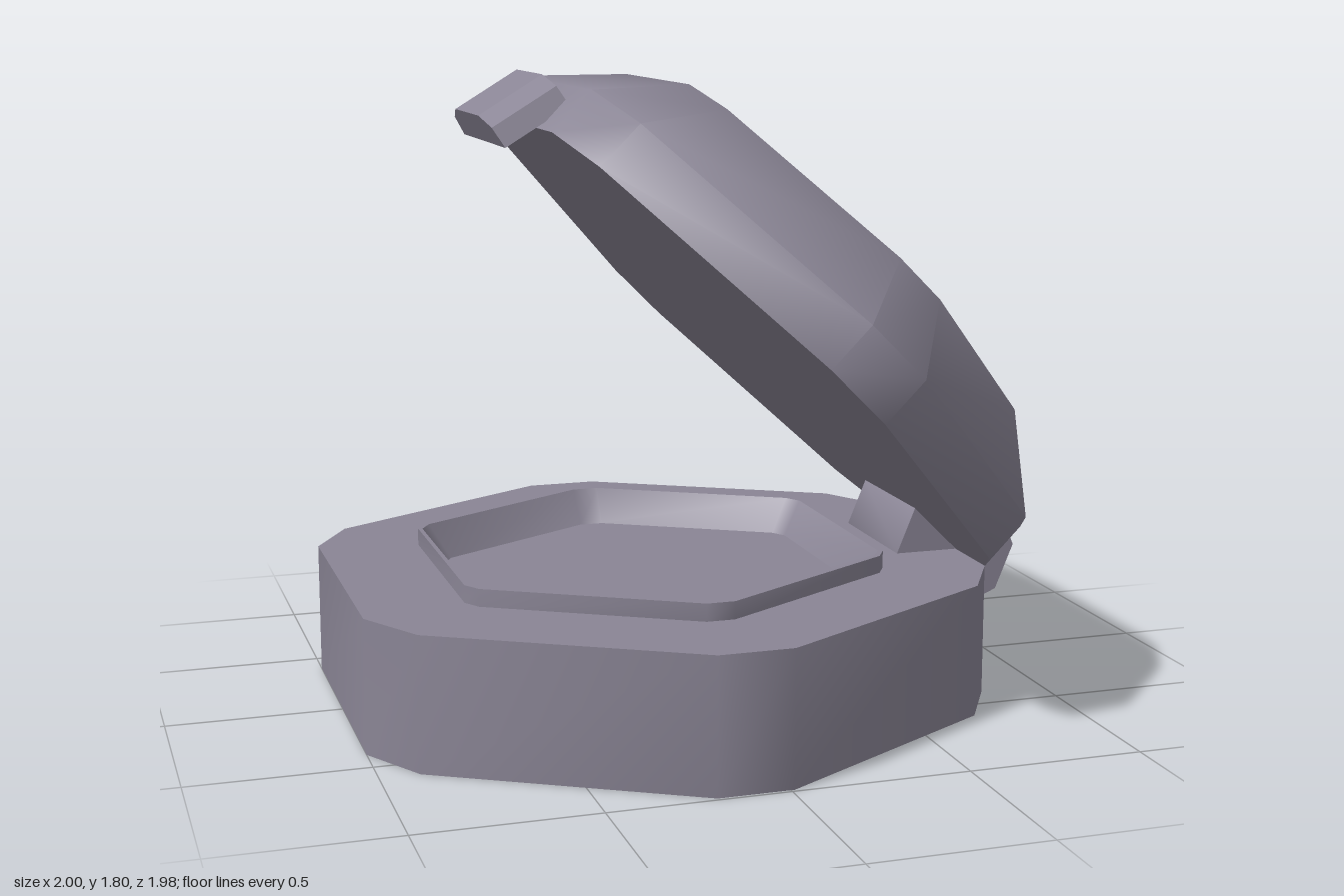
import * as THREE from 'three';
import { toCreasedNormals } from 'three/addons/utils/BufferGeometryUtils.js';

const MID = -0.095; // centre of the base in x

// Twelve-cornered outline mirrored from one quadrant of [x, z] points
function outline(quadrant) {
  const back = [...quadrant].reverse();
  return [
    ...quadrant,
    ...back.map(([x, z]) => [-x, z]),
    ...quadrant.map(([x, z]) => [-x, -z]),
    ...back.map(([x, z]) => [x, -z]),
  ];
}

// Closed body through rings of { pts, s: scale, y }, from the underside to the last cap
function loft(rings, crease) {
  const n = rings[0].pts.length, pos = [], idx = [];
  for (const { pts, s, y } of rings) for (const [x, z] of pts) pos.push(x * s, y, z * s);
  for (let r = 0; r < rings.length - 1; r++) {
    for (let i = 0; i < n; i++) {
      const a = r * n + i, b = r * n + (i + 1) % n;
      idx.push(a, a + n, b, b, a + n, b + n);
    }
  }
  const first = pos.length / 3, last = first + 1, top = (rings.length - 1) * n;
  pos.push(0, rings[0].y, 0, 0, rings[rings.length - 1].y, 0);
  for (let i = 0; i < n; i++) {
    const j = (i + 1) % n;
    idx.push(first, i, j, last, top + j, top + i);
  }
  const g = new THREE.BufferGeometry();
  g.setAttribute('position', new THREE.Float32BufferAttribute(pos, 3));
  g.setIndex(idx);
  return toCreasedNormals(g, crease);
}

export function createModel() {
  const model = new THREE.Group();
  const casing = new THREE.MeshStandardMaterial({ color: 0x8a8595 });
  casing.name = 'grey violet casing';
  const add = (name, geometry, parent = model) => {
    const mesh = new THREE.Mesh(geometry, casing);
    mesh.name = name;
    parent.add(mesh);
    return mesh;
  };

  const outer = outline([[0.905, 0.4], [0.795, 0.59], [0.105, 0.99]]);
  const inner = outline([[0.615, 0.33], [0.585, 0.38], [0.04, 0.7]]);

  // Base with a raised rim around a shallow tray
  add('base', loft([
    { pts: outer, s: 1, y: 0 },
    { pts: outer, s: 1, y: 0.38 },
    { pts: inner, s: 1, y: 0.38 },
    { pts: inner, s: 1, y: 0.43 },
    { pts: inner, s: 0.98, y: 0.43 },
    { pts: inner, s: 0.88, y: 0.33 },
  ], 0.8)).position.x = MID;

  // Open lid with a broad bevel, tilted back on the hinge
  const lid = add('lid', loft([
    { pts: outer, s: 1, y: 0 },
    { pts: outer, s: 1, y: 0.155 },
    { pts: outer, s: 0.77, y: 0.37 },
  ], 0.9));
  lid.position.set(0.171, 1.02, 0);
  lid.rotation.z = -Math.PI / 4;

  // Eight-sided hinge barrel
  const barrel = new THREE.CylinderGeometry(0.188, 0.188, 0.39, 8);
  barrel.rotateY(Math.PI / 2).rotateX(Math.PI / 2);
  add('hinge', toCreasedNormals(barrel, 0.9)).position.set(0.81, 0.38, 0);

  // Clasp tongue with chamfered ends on the free edge of the lid
  const section = new THREE.Shape([
    [-0.26, -0.047], [0.26, -0.047], [0.24, 0.015], [0.15, 0.047], [-0.15, 0.047], [-0.24, 0.015],
  ].map(([x, y]) => new THREE.Vector2(x, y)));
  const tongue = new THREE.ExtrudeGeometry(section, { depth: 0.21, bevelEnabled: false });
  tongue.translate(0, 0, -0.105);
  const tilt = 0.545, c = Math.cos(tilt), s = Math.sin(tilt);
  tongue.applyMatrix4(new THREE.Matrix4().makeBasis(
    new THREE.Vector3(0, 0, -1), new THREE.Vector3(-s, c, 0), new THREE.Vector3(c, s, 0)));
  add('clasp', tongue).position.set(-0.497, 1.705, 0);

  return model;
}
